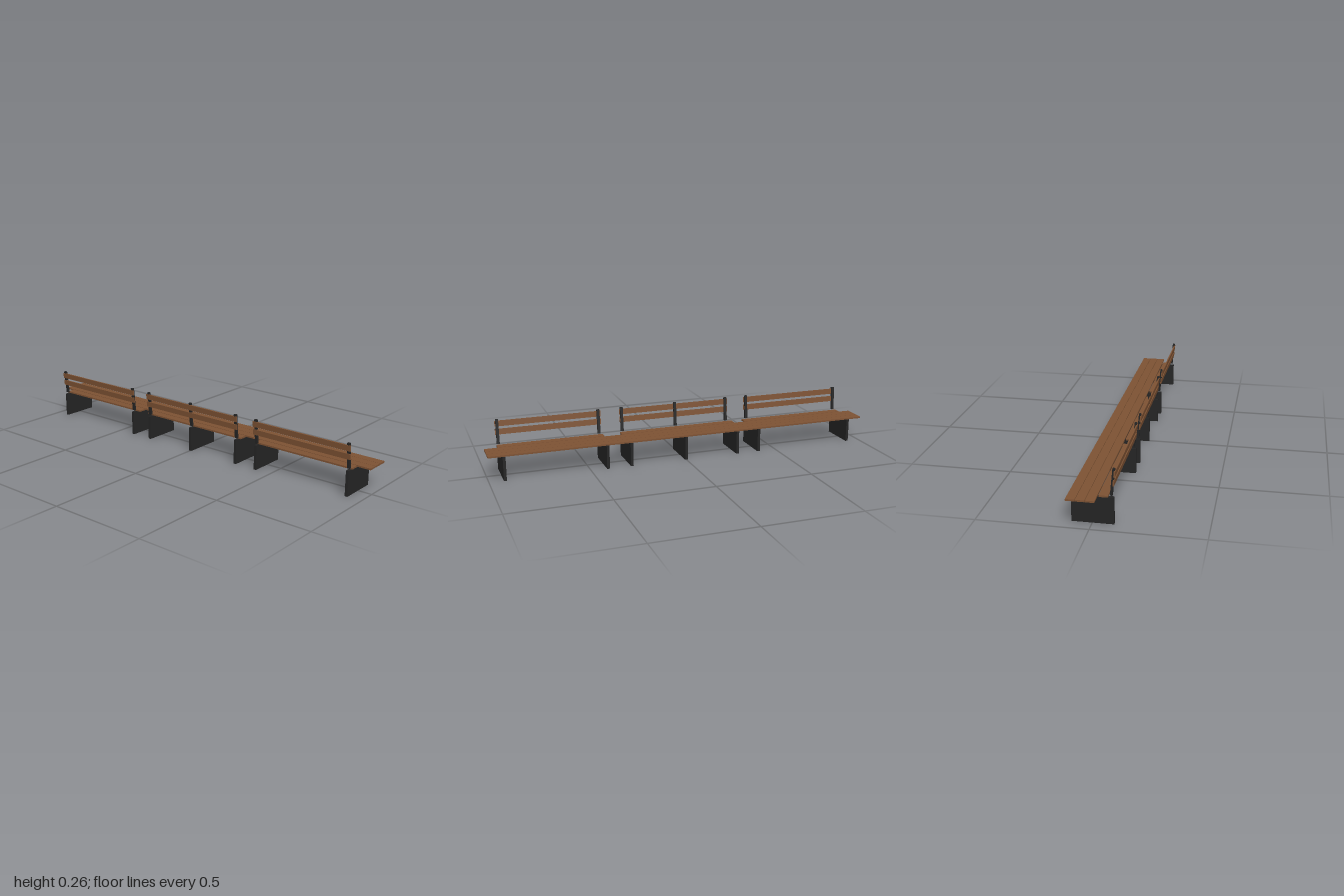
import * as THREE from 'three';

const wood = new THREE.MeshStandardMaterial({ color: 0x7d5233 });
const metal = new THREE.MeshStandardMaterial({ color: 0x242424 });

// Box spanning x0..x1, y0..y1, z0..z1
function box(name, material, [x0, x1], [y0, y1], [z0, z1]) {
  const mesh = new THREE.Mesh(new THREE.BoxGeometry(x1 - x0, y1 - y0, z1 - z0), material);
  mesh.position.set((x0 + x1) / 2, (y0 + y1) / 2, (z0 + z1) / 2);
  mesh.name = name;
  return mesh;
}

// Three backrest sections: post positions, short seat plank span, back slat span
const SECTIONS = [
  { posts: [-0.93, -0.404], plank: [-0.941, -0.374], slat: [-0.941, -0.393] },
  { posts: [-0.284, 0, 0.289], plank: [-0.313, 0.305], slat: [-0.297, 0.299] },
  { posts: [0.412, 0.922], plank: [0.397, 0.933], slat: [0.398, 0.933] },
];
const HALF = 0.007; // half thickness of legs and posts
const SEAT_Y = [0.125, 0.133];

export function createModel() {
  const bench = new THREE.Group();
  bench.name = 'bench';

  // Full-length seat planks
  for (const z of [-0.101, -0.0585, -0.016]) {
    bench.add(box('seatPlank', wood, [-1, 1], SEAT_Y, [z, z + 0.0405]));
  }

  for (const { posts, plank, slat } of SECTIONS) {
    // Short plank under each backrest
    bench.add(box('shortSeatPlank', wood, plank, SEAT_Y, [0.029, 0.07]));

    // Backrest leaning away from the seat
    const back = new THREE.Group();
    back.name = 'backrest';
    back.position.set(0, 0.195, 0.0885);
    back.rotation.x = 0.097;
    for (const y of [-0.002, 0.039]) {
      back.add(box('backSlat', wood, slat, [y - 0.014, y + 0.014], [0.002, 0.0085]));
    }

    // Panel leg with a post above it
    for (const x of posts) {
      const span = [x - HALF, x + HALF];
      bench.add(box('panelLeg', metal, span, [0, 0.125], [-0.091, 0.095]));
      back.add(box('backPost', metal, span, [-0.062, 0.062], [-0.0055, 0.0055]));
    }
    bench.add(back);
  }
  return bench;
}
